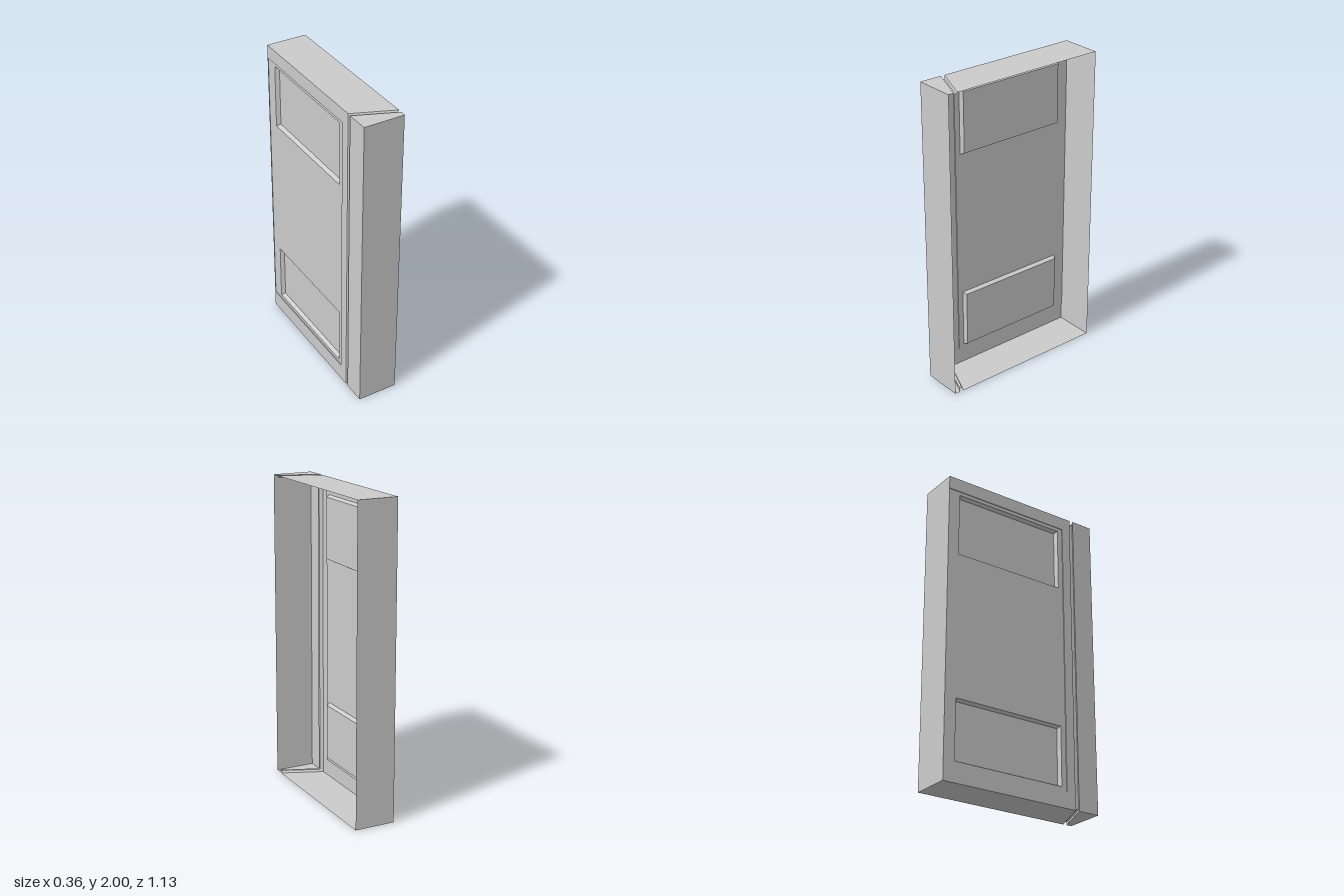
import * as THREE from 'three';

const H = 2, SLOT = 0.015, STEP = 0.005, DEPTH = 0.03, BEVEL = 0.012;

// Plan corners as [x, z]
const door = [[-0.18, -0.545], [-0.098, 0.395], [0.175, 0.48], [0.082, -0.568]];
const post = [[-0.098, 0.42], [-0.084, 0.565], [0.178, 0.541], [0.176, 0.505]];
const slot = [[-0.078, 0.408], [-0.078, 0.428], [0.163, 0.499], [0.163, 0.484]];

const material = new THREE.MeshStandardMaterial({ color: 0xcccccc, flatShading: true, side: THREE.DoubleSide });

// Thin sheets made of four-cornered faces
function sheets(name, quads) {
  const pos = [];
  for (const [a, b, c, d] of quads) pos.push(...a, ...b, ...c, ...a, ...c, ...d);
  const geo = new THREE.BufferGeometry();
  geo.setAttribute('position', new THREE.Float32BufferAttribute(pos, 3));
  geo.computeVertexNormals();
  const mesh = new THREE.Mesh(geo, material);
  mesh.name = name;
  return mesh;
}

const at = ([x, z], y) => [x, y, z];
const wall = (p, q, y0 = 0, y1 = H) => [at(p, y0), at(q, y0), at(q, y1), at(p, y1)];
const lid = (plan, y) => plan.map((p) => at(p, y));
const base = (plan, y) => lid(plan, y).reverse();

// Point on the slanting side wall: z along it, height y, depth d inward
const slope = (door[1][0] - door[0][0]) / (door[1][1] - door[0][1]);
const onWall = (z, y, d) => [door[0][0] + slope * (z - door[0][1]) + d, y, z - slope * d];

const rect = (z0, z1, y0, y1) => [[z0, y0], [z1, y0], [z1, y1], [z0, y1]];
const toPoints = (pts) => pts.map(([a, b]) => new THREE.Vector2(a, b));

// Flat outline with holes laid on the side wall
function wallShape(name, outline, holes, d) {
  const shape = new THREE.Shape(toPoints(outline));
  for (const h of holes) shape.holes.push(new THREE.Path(toPoints(h)));
  const geo = new THREE.ShapeGeometry(shape);
  const p = geo.attributes.position;
  for (let i = 0; i < p.count; i++) p.setXYZ(i, ...onWall(p.getX(i), p.getY(i), d));
  geo.computeVertexNormals();
  const mesh = new THREE.Mesh(geo, material);
  mesh.name = name;
  return mesh;
}

// Bevelled recess pressed into the side wall
function recess(name, [z0, z1, y0, y1]) {
  const rim = rect(z0, z1, y0, y1).map((p) => onWall(...p, STEP));
  const floor = rect(z0 + BEVEL, z1 - BEVEL, y0 + BEVEL, y1 - BEVEL).map((p) => onWall(...p, DEPTH));
  const sides = rim.map((p, i) => {
    const j = (i + 1) % 4;
    return [p, rim[j], floor[j], floor[i]];
  });
  return sheets(name, [floor, ...sides]);
}

export function createModel() {
  const g = new THREE.Group();
  g.name = 'hollowDoor';

  // Main tray, open on its left side
  g.add(sheets('doorTop', [lid(door, H)]));
  g.add(sheets('doorBottom', [base(door, 0)]));
  g.add(sheets('doorBack', [wall(door[3], door[0])]));

  // Side wall: border, slightly sunken field and two recessed panels
  const [zb, zf] = [door[0][1], door[1][1]];
  const [fz, f0, f1] = [0.333, 0.108, 1.913];
  const border = [[zb, 0], [zf, 0], [zf, H], [zb, H], [zb, f1], [fz, f1], [fz, f0], [zb, f0]];
  g.add(wallShape('sideBorder', border, [], 0));
  const panels = { lowerPanel: [-0.465, 0.297, 0.132, 0.52], upperPanel: [-0.465, 0.297, 1.472, 1.89] };
  g.add(wallShape('sideField', rect(zb, fz, f0, f1), Object.values(panels).map((p) => rect(...p)), STEP));
  const edge = [[zb, f0], [fz, f0], [fz, f1], [zb, f1]];
  g.add(sheets('fieldStep', [0, 1, 2].map((i) => [
    onWall(...edge[i], 0), onWall(...edge[i + 1], 0), onWall(...edge[i + 1], STEP), onWall(...edge[i], STEP),
  ])));
  for (const [name, size] of Object.entries(panels)) g.add(recess(name, size));

  // Front post
  g.add(sheets('postTop', [lid(post, H)]));
  g.add(sheets('postBottom', [base(post, 0)]));
  g.add(sheets('postSide', [wall(post[0], post[1])]));
  g.add(sheets('postFront', [wall(post[1], post[2])]));

  // Groove running over the top, down the side and under the bottom
  const lo = SLOT, hi = H - SLOT;
  g.add(sheets('grooveFloor', [lid(slot, hi), base(slot, lo), wall(slot[0], slot[1], lo, hi)]));
  const flanks = [
    ['grooveDoorFlank', door[1], door[2], slot[0], slot[3]],
    ['groovePostFlank', post[0], post[3], slot[1], slot[2]],
  ];
  flanks.forEach(([name, a, b, c, d], i) => {
    const quads = [
      [at(a, H), at(c, hi), at(d, hi), at(b, H)],
      [at(a, 0), at(b, 0), at(d, lo), at(c, lo)],
      [at(a, 0), at(c, lo), at(c, hi), at(a, H)],
    ];
    if (i) quads.forEach((q) => q.reverse());
    g.add(sheets(name, quads));
  });
  return g;
}
